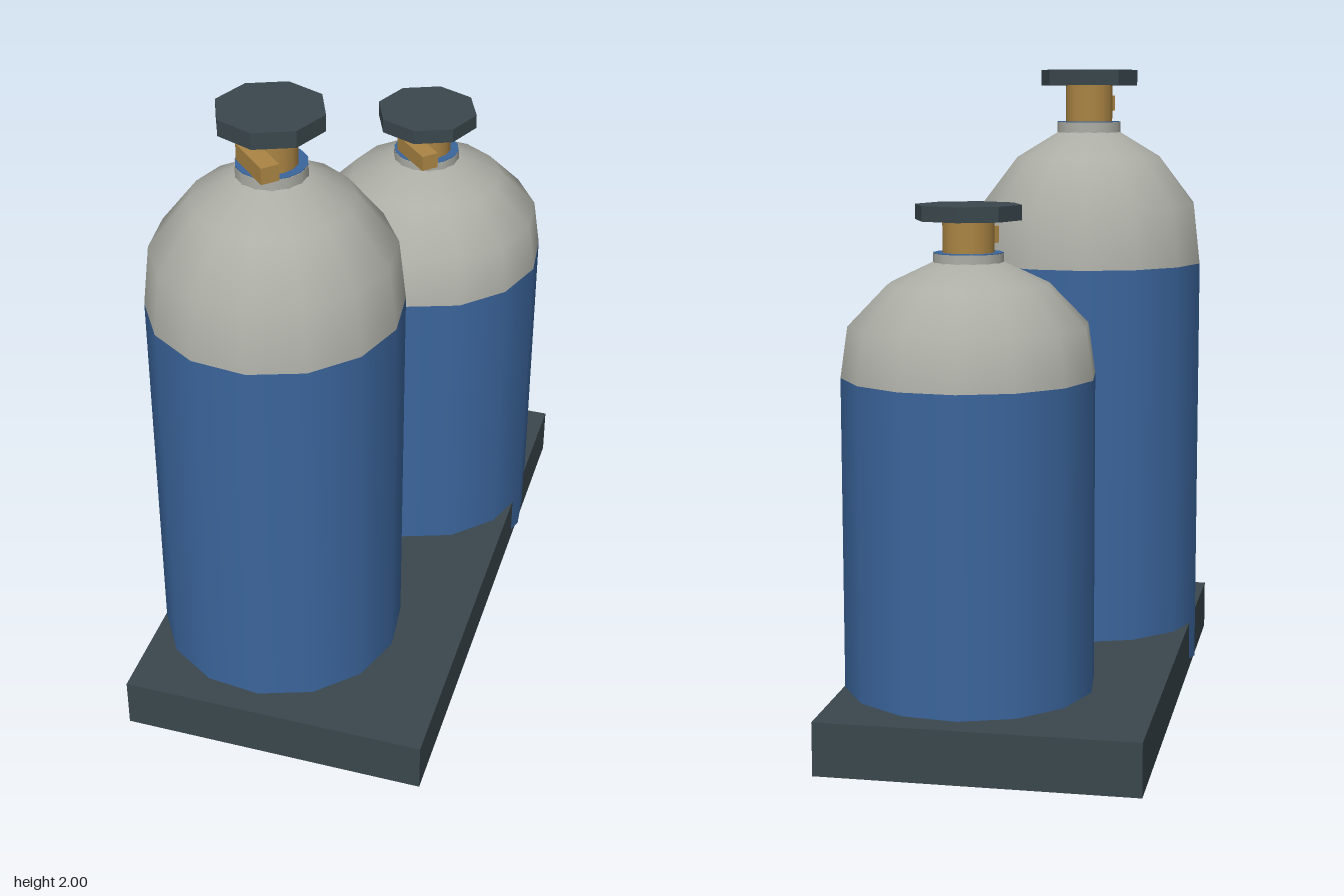
import * as THREE from 'three';

const material = (name, color, flatShading = false) => {
  const m = new THREE.MeshStandardMaterial({ color, flatShading });
  m.name = name;
  return m;
};

export function createModel() {
  const blue = material('bluePaint', 0x3b659c);
  const grey = material('greyPaint', 0xadaea6);
  const dark = material('darkSlate', 0x3a474c, true);
  const brass = material('brass', 0xab8544);

  const add = (parent, name, geometry, mat, x = 0, y = 0, z = 0) => {
    const mesh = new THREE.Mesh(geometry, mat);
    mesh.name = name;
    mesh.position.set(x, y, z);
    parent.add(mesh);
    return mesh;
  };
  const lathe = (points) =>
    new THREE.LatheGeometry(points.map(([r, y]) => new THREE.Vector2(r, y)), 14).rotateY(Math.PI / 2);
  const disc = (r, y0, y1, sides) =>
    new THREE.CylinderGeometry(r, r, y1 - y0, sides).translate(0, (y0 + y1) / 2, 0);

  // One gas bottle: shoulder = top of the blue body, neck = top of the dome
  const bottle = (name, x, z, shoulder, neck, collarTop, wheelBottom, wheelTop) => {
    const g = new THREE.Group();
    g.name = name;
    g.position.set(x, 0, z);
    const rise = neck - shoulder;

    // Painted body with a chamfered foot
    add(g, 'bodyFoot', lathe([[0, 0.002], [0.34, 0.002], [0.38, 0.035]]), blue);
    add(g, 'body', lathe([[0.38, 0.035], [0.38, shoulder]]), blue);

    // Domed shoulder
    add(g, 'dome', lathe([
      [0.38, shoulder],
      [0.358, shoulder + rise * 0.45],
      [0.24, shoulder + rise * 0.81],
      [0.105, neck],
      [0, neck + 0.004],
    ]), grey);

    // Neck collar with a blue top face
    add(g, 'collar', disc(0.105, neck - 0.015, collarTop - 0.002, 14), grey);
    add(g, 'collarTop', disc(0.104, collarTop - 0.002, collarTop, 14), blue);

    // Valve, side outlet and hand wheel
    add(g, 'valve', disc(0.077, collarTop, wheelBottom, 14), brass);
    add(g, 'outlet', new THREE.BoxGeometry(0.055, 0.05, 0.16), brass,
      -0.082, (collarTop + wheelBottom) / 2, 0.083);
    add(g, 'handWheel', disc(0.16, wheelBottom, wheelTop, 8), dark);
    return g;
  };

  const model = new THREE.Group();
  model.name = 'gasBottles';

  // Base slab, turned diagonally
  const base = add(model, 'base', new THREE.BoxGeometry(1.768, 0.16, 0.948), dark, 0, 0.08, 0);
  base.rotation.y = Math.PI / 4;

  model.add(bottle('tallBottle', -0.38, 0.223, 1.37, 1.797, 1.832, 1.95, 2.0));
  model.add(bottle('shortBottle', 0.38, -0.223, 1.1, 1.437, 1.465, 1.56, 1.605));
  return model;
}
